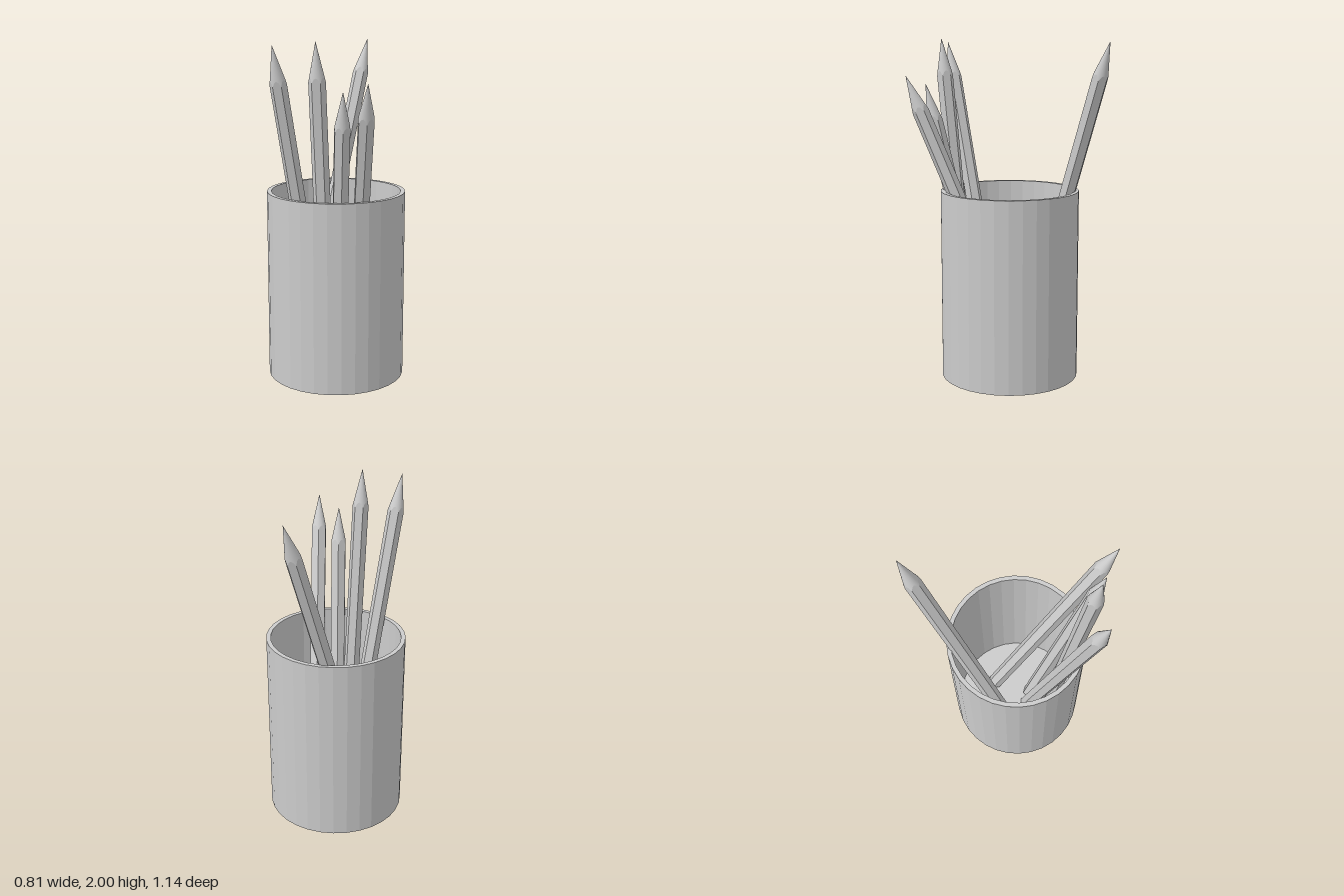
import * as THREE from 'three';

const flat = new THREE.MeshStandardMaterial({ color: 0xcccccc, flatShading: true });
const smooth = new THREE.MeshStandardMaterial({ color: 0xcccccc });

const RADIUS = 0.048;  // pencil centre to hexagon corner
const POINT = 0.22;    // length of the sharpened cone, measured at the corners
const SEGMENTS = 24;   // four per hexagon side

// Hexagon outline relative to its corner radius (corners at 0, 60, 120... degrees)
function hexScale(x, z) {
  const side = Math.PI / 3;
  const a = ((Math.atan2(x, z) + 4 * Math.PI + 1e-6) % side) - side / 2;
  return Math.cos(side / 2) / Math.cos(a);
}

function addMesh(parent, name, geometry, material) {
  const mesh = new THREE.Mesh(geometry, material);
  mesh.name = name;
  parent.add(mesh);
  return mesh;
}

// Hexagonal pencil: the conical point meets the flat sides in scallops
function makePencil(length) {
  const pencil = new THREE.Group();

  const body = new THREE.CylinderGeometry(RADIUS, RADIUS, length, SEGMENTS, 1, true);
  body.translate(0, length / 2, 0);
  const b = body.attributes.position;
  for (let i = 0; i < b.count; i++) {
    const x = b.getX(i), z = b.getZ(i), s = hexScale(x, z);
    b.setXYZ(i, x * s, b.getY(i) > length / 2 ? length - POINT * s : 0, z * s);
  }
  addMesh(pencil, 'pencilBody', body, flat);

  const point = new THREE.ConeGeometry(RADIUS, POINT, SEGMENTS, 1, true);
  point.translate(0, length - POINT / 2, 0);
  const p = point.attributes.position;
  for (let i = 0; i < p.count; i++) {
    const x = p.getX(i), z = p.getZ(i);
    if (Math.hypot(x, z) < 1e-4) continue;
    const s = hexScale(x, z);
    p.setXYZ(i, x * s, length - POINT * s, z * s);
  }
  addMesh(pencil, 'pencilPoint', point, smooth);

  const end = new THREE.CircleGeometry(RADIUS, 6, Math.PI / 2);
  end.rotateX(Math.PI / 2);
  addMesh(pencil, 'pencilEnd', end, flat);
  return pencil;
}

export function createModel() {
  const model = new THREE.Group();
  model.name = 'pencilCup';

  // Hollow cup with a thin wall and floor
  const profile = [[0, 0], [0.407, 0], [0.407, 1.12], [0.381, 1.12], [0.381, 0.03], [0, 0.03]]
    .map(([x, y]) => new THREE.Vector2(x, y));
  addMesh(model, 'cup', new THREE.LatheGeometry(profile, 32), flat).position.z = -0.016;

  // Pencils: base centre, tip, spin about own axis
  const pencils = [
    [[-0.072, 0.04, 0.039], [-0.37, 1.98, 0.37], 0],
    [[-0.058, 0.04, 0.208], [-0.14, 2.0, 0.39], -0.3],
    [[0, 0.04, 0.076], [0, 1.74, 0.472], 0],
    [[0.122, 0.05, -0.143], [0.122, 1.79, 0.572], 0],
    [[-0.202, 0.05, -0.09], [0.24, 1.98, -0.571], 0],
  ];
  pencils.forEach(([base, tip, spin], i) => {
    const start = new THREE.Vector3(...base);
    const axis = new THREE.Vector3(...tip).sub(start);
    const holder = new THREE.Group();
    holder.name = `pencil${i + 1}`;
    const pencil = makePencil(axis.length());
    pencil.name = 'pencil';
    pencil.rotation.y = spin;
    holder.add(pencil);
    holder.position.copy(start);
    // Turn towards the lean direction, then tilt
    holder.rotation.set(Math.atan2(Math.hypot(axis.x, axis.z), axis.y), Math.atan2(axis.x, axis.z), 0, 'YXZ');
    model.add(holder);
  });
  return model;
}
